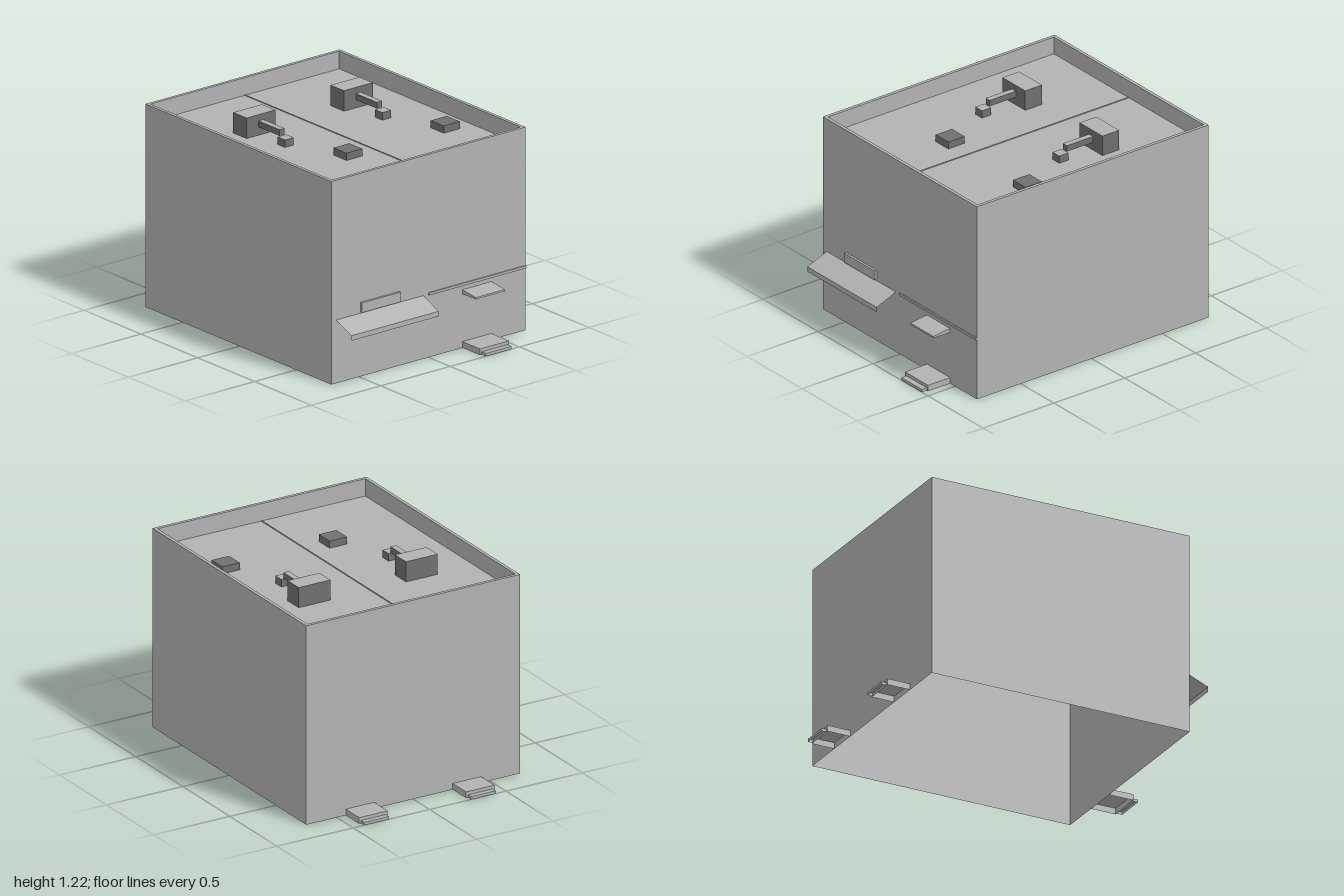
import * as THREE from 'three';

const paleGrey = new THREE.MeshStandardMaterial({ color: 0xb2b2b2, side: THREE.DoubleSide });
paleGrey.name = 'pale grey';
const darkGrey = new THREE.MeshStandardMaterial({ color: 0x707070, side: THREE.DoubleSide });
darkGrey.name = 'dark grey';

// Face numbers of a box: +x, -x, +y, -y, +z, -z
const TOP = 2, BOTTOM = 3, FRONT = 4, BACK = 5;

// Box from its limits, with some faces left open
function box(parent, name, material, [x0, x1], [y0, y1], [z0, z1], open = []) {
  const geometry = new THREE.BoxGeometry(x1 - x0, y1 - y0, z1 - z0);
  const index = Array.from(geometry.index.array);
  const faces = [0, 1, 2, 3, 4, 5].filter((f) => !open.includes(f));
  geometry.setIndex(faces.flatMap((f) => index.slice(f * 6, f * 6 + 6)));
  geometry.clearGroups();
  faces.forEach((f, i) => geometry.addGroup(i * 6, 6, Array.isArray(material) ? f : 0));
  geometry.translate((x0 + x1) / 2, (y0 + y1) / 2, (z0 + z1) / 2);
  const mesh = new THREE.Mesh(geometry, material);
  mesh.name = name;
  parent.add(mesh);
  return mesh;
}

// Prism along x from a (z, y) outline
function prism(parent, name, x0, x1, outline) {
  const shape = new THREE.Shape(outline.map(([z, y]) => new THREE.Vector2(-z, y)));
  const geometry = new THREE.ExtrudeGeometry(shape, { depth: x1 - x0, bevelEnabled: false });
  geometry.rotateY(Math.PI / 2).translate(x0, 0, 0);
  const mesh = new THREE.Mesh(geometry, paleGrey);
  mesh.name = name;
  parent.add(mesh);
}

export function createModel() {
  const model = new THREE.Group();
  model.name = 'flatRoofBuilding';
  const roofY = 1.1, topY = 1.205, frontZ = 0.81, backZ = -0.825;

  // Outer walls, open below
  box(model, 'walls', paleGrey, [-0.7, 0.7], [0, topY], [backZ, frontZ], [TOP, BOTTOM]);

  // Parapet: flat rim and inner faces around the sunken roof
  const rim = new THREE.Shape([[-0.7, -frontZ], [0.7, -frontZ], [0.7, -backZ], [-0.7, -backZ]]
    .map(([x, y]) => new THREE.Vector2(x, y)));
  rim.holes.push(new THREE.Path([[-0.68, -0.79], [-0.68, 0.805], [0.68, 0.805], [0.68, -0.79]]
    .map(([x, y]) => new THREE.Vector2(x, y))));
  const rimMesh = new THREE.Mesh(new THREE.ShapeGeometry(rim).rotateX(-Math.PI / 2), paleGrey);
  rimMesh.name = 'parapetRim';
  rimMesh.position.y = topY;
  model.add(rimMesh);
  box(model, 'parapetInside', paleGrey, [-0.68, 0.68], [roofY, topY], [-0.805, 0.79], [TOP, BOTTOM]);

  // Roof deck and its centre seam
  const roof = new THREE.Mesh(new THREE.PlaneGeometry(1.4, frontZ - backZ).rotateX(-Math.PI / 2), paleGrey);
  roof.name = 'roof';
  roof.position.set(0, roofY, (frontZ + backZ) / 2);
  model.add(roof);
  box(model, 'roofSeam', paleGrey, [-0.003, 0.003], [roofY, roofY + 0.004], [-0.805, 0.79], [BOTTOM]);

  // Rooftop equipment, once on each half: dark sides, pale tops
  const sidesDark = [darkGrey, darkGrey, paleGrey, darkGrey, darkGrey, darkGrey];
  for (const x of [-0.335, 0.367]) {
    const unit = new THREE.Group();
    unit.name = 'rooftopUnit';
    unit.position.x = x;
    model.add(unit);
    box(unit, 'airConditioner', sidesDark, [-0.104, 0.104], [roofY, 1.222], [-0.372, -0.254], [BOTTOM]);
    box(unit, 'duct', sidesDark, [-0.018, 0.018], [1.148, 1.185], [-0.254, -0.07]);
    box(unit, 'ductOutlet', sidesDark, [-0.031, 0.031], [roofY, 1.145], [-0.07, -0.006], [BOTTOM]);
    box(unit, 'roofHatch', darkGrey, [0.1, 0.215], [roofY, 1.143], [0.26, 0.375], [BOTTOM]);
  }

  // Front steps, hollow below, with a lower tread
  box(model, 'frontStep', paleGrey, [0.245, 0.455], [0, 0.037], [frontZ, 0.965], [BOTTOM, BACK]);
  box(model, 'frontTread', paleGrey, [0.257, 0.443], [0, 0.017], [0.965, 1], [BOTTOM, BACK]);

  // Back steps
  for (const x of [-0.352, 0.348]) {
    box(model, 'backStep', paleGrey, [x - 0.093, x + 0.093], [0, 0.037], [-0.968, backZ], [BOTTOM, FRONT]);
    box(model, 'backTread', paleGrey, [x - 0.081, x + 0.081], [0, 0.017], [-1, -0.968], [BOTTOM, FRONT]);
  }

  // Awning sheet with a hanging valance
  const awning = new THREE.Group();
  awning.name = 'awning';
  model.add(awning);
  const run = 0.135, drop = 0.055;
  const sheet = new THREE.Mesh(
    new THREE.PlaneGeometry(0.63, Math.hypot(run, drop)).rotateX(-Math.atan2(run, drop)), paleGrey);
  sheet.name = 'awningSheet';
  sheet.position.set(-0.352, 0.32 + drop / 2, frontZ + run / 2);
  const valance = new THREE.Mesh(new THREE.PlaneGeometry(0.63, 0.03), paleGrey);
  valance.name = 'valance';
  valance.position.set(-0.352, 0.305, frontZ + run);
  awning.add(sheet, valance);

  // Sign panel, wall band and door canopy
  box(model, 'signPanel', paleGrey, [-0.49, -0.21], [0.382, 0.44], [frontZ, 0.824], [BACK]);
  box(model, 'wallBand', paleGrey, [0, 0.7], [0.37, 0.385], [frontZ, 0.818], [BACK]);
  prism(model, 'doorCanopy', 0.245, 0.455,
    [[frontZ, 0.32], [frontZ, 0.345], [0.927, 0.331], [0.927, 0.32]]);

  return model;
}
